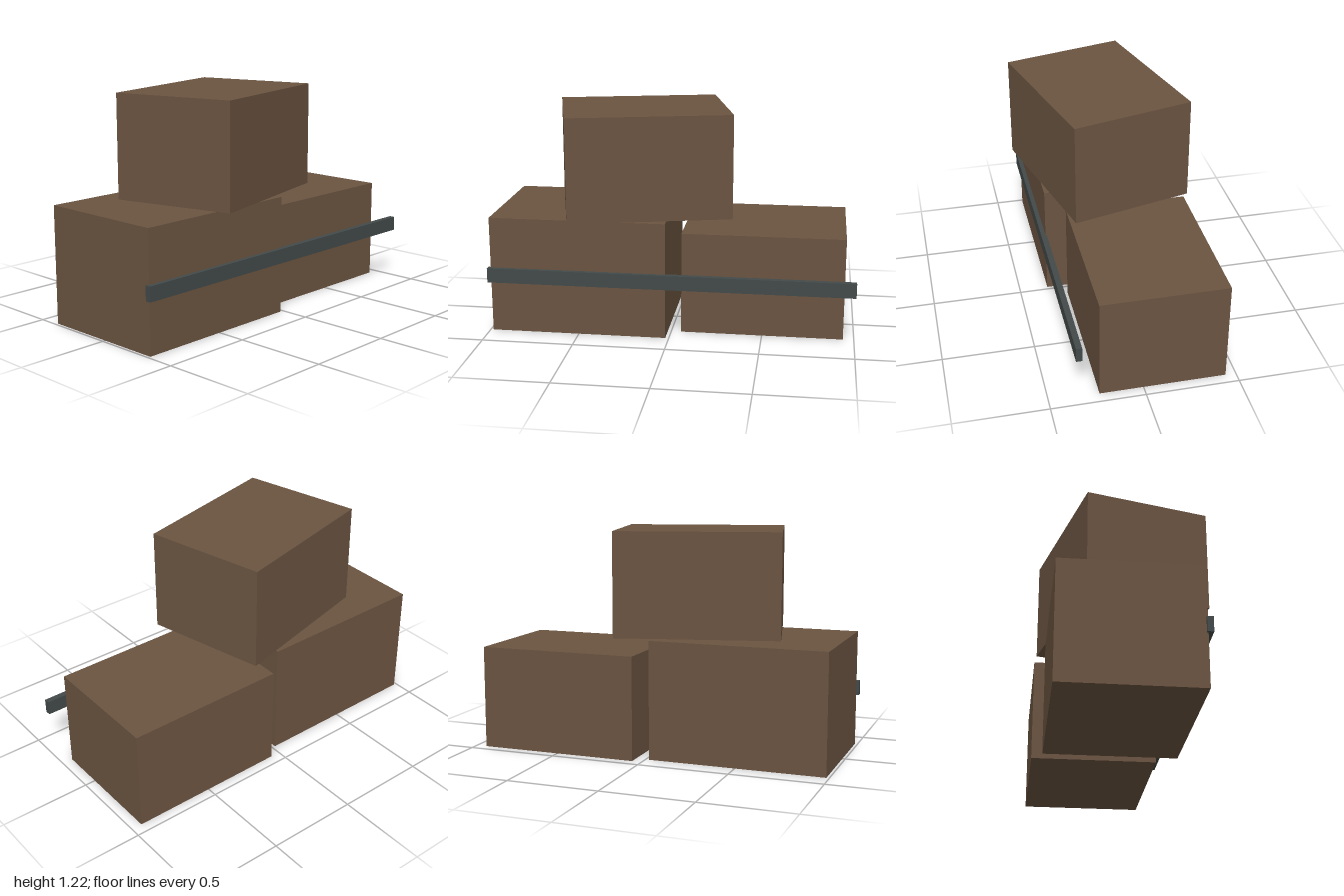
import * as THREE from 'three';

export function createModel() {
  const group = new THREE.Group();
  const brown = new THREE.MeshStandardMaterial({ color: 0x6b5441 });
  brown.name = 'crate brown';
  const slate = new THREE.MeshStandardMaterial({ color: 0x424a49 });
  slate.name = 'dark slate';

  // Box with its base centre at (x, y, z), turned about the vertical
  function addBox(name, material, [w, h, d], [x, y, z], turn = 0) {
    const mesh = new THREE.Mesh(new THREE.BoxGeometry(w, h, d), material);
    mesh.name = name;
    mesh.position.set(x, y + h / 2, z);
    mesh.rotation.y = turn;
    group.add(mesh);
  }

  // Two crates on the ground, a turned one on top
  addBox('largeCrate', brown, [0.965, 0.645, 0.727], [-0.502, 0, -0.024]);
  addBox('smallCrate', brown, [0.886, 0.565, 0.677], [0.498, 0, -0.105]);
  addBox('topCrate', brown, [0.886, 0.565, 0.677], [-0.18, 0.655, 0.007], 0.245);

  // Long bar across the front
  addBox('frontBar', slate, [2, 0.08, 0.032], [0, 0.284, 0.348]);

  return group;
}
